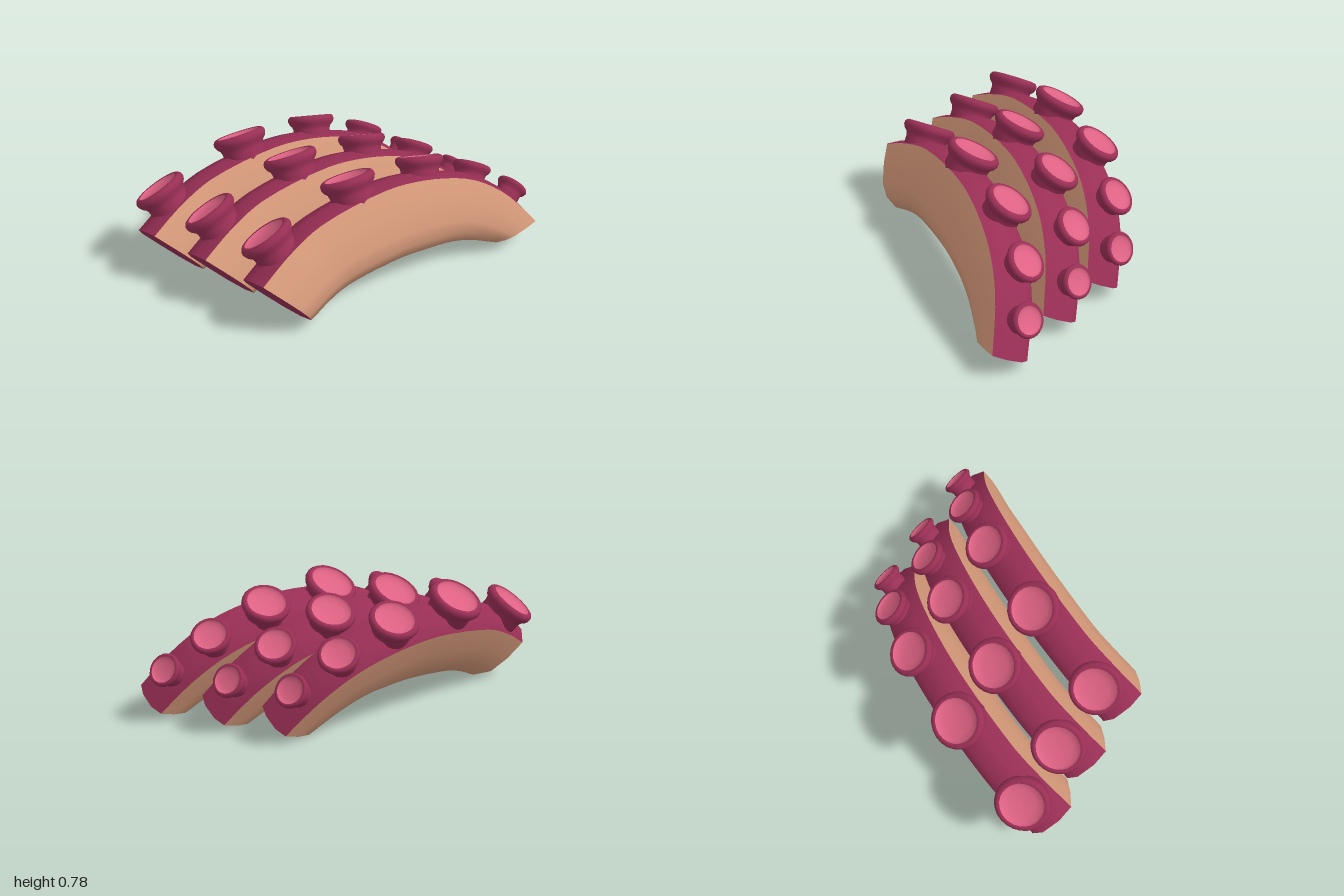
import * as THREE from 'three';

const mat = (name, color) => {
  const m = new THREE.MeshStandardMaterial({ color });
  m.name = name;
  return m;
};

// Stations along the arch: along, up, slope in degrees, width scale, height scale
const STATIONS = [
  [0, 0, 42, 1.1, 1],
  [0.2, 0.115, 28, 1.05, 1.02],
  [0.39, 0.19, 18, 1, 1.05],
  [0.81, 0.255, 2, 1, 1.08],
  [1.04, 0.247, -8, 1, 1.06],
  [1.3, 0.2, -22, 1, 0.97],
  [1.5, 0.1, -42, 0.95, 0.85],
  [1.715, -0.09, -75, 0.88, 0.66],
];

// Cross-section as (across, outward) points, going round from the outer right corner
const TOP = [[0.15, 0.175], [0.06, 0.22], [-0.06, 0.22], [-0.13, 0.165]];
const UNDER = [[-0.13, 0.165], [-0.145, 0.02], [-0.138, -0.12], [-0.08, -0.225],
  [0.04, -0.24], [0.11, -0.185], [0.148, -0.1], [0.157, 0.04], [0.15, 0.175]];

// Suckers: rim centre along, up and across, lean in degrees, radius
const SUCKERS = [
  [0.02, 0.4, 0.012, -22, 0.172],
  [0.62, 0.58, 0.015, -4, 0.172],
  [1.15, 0.563, -0.015, 10, 0.152],
  [1.53, 0.408, -0.04, 31, 0.125],
  [1.8, 0.195, -0.045, 52, 0.103],
];

const path = new THREE.CatmullRomCurve3(STATIONS.map(s => new THREE.Vector3(s[0], s[1], s[2] / 60)));
const scales = new THREE.CatmullRomCurve3(STATIONS.map(s => new THREE.Vector3(s[3], s[4], 0)));

function ring(t, section) {
  const p = path.getPoint(t), s = scales.getPoint(t);
  const angle = THREE.MathUtils.degToRad(p.z * 60);
  return section.map(([v, u]) => [
    p.x - Math.sin(angle) * u * s.y,
    p.y + Math.cos(angle) * u * s.y,
    v * s.x - 0.055 * t ** 3, // the tip drifts sideways
  ]);
}

function build(points, index) {
  const g = new THREE.BufferGeometry();
  g.setAttribute('position', new THREE.Float32BufferAttribute(points.flat(), 3));
  g.setIndex(index);
  g.computeVertexNormals();
  return g;
}

// Skin of one part of the cross-section swept along the arch
function sweep(section, steps = 28) {
  const points = [], index = [], n = section.length;
  for (let i = 0; i <= steps; i++) points.push(...ring(i / steps, section));
  for (let i = 0; i < steps; i++) {
    for (let j = 0; j < n - 1; j++) {
      const a = i * n + j, b = a + n;
      index.push(a, b, a + 1, b, b + 1, a + 1);
    }
  }
  return build(points, index);
}

// Flat cut at one end
function cap(t) {
  const points = ring(t, [...TOP, ...UNDER.slice(1, -1)]), index = [];
  for (let j = 1; j < points.length - 1; j++) index.push(...(t === 0 ? [0, j, j + 1] : [0, j + 1, j]));
  return build(points, index);
}

const lathe = pts => new THREE.LatheGeometry(pts.map(p => new THREE.Vector2(...p)), 24);

export function createModel() {
  const plum = mat('plum skin', 0x9a2f56);
  const pink = mat('pink sucker dish', 0xde6283);
  const tan = mat('tan flesh', 0xd89b7b);

  const topSkin = sweep(TOP), flesh = sweep(UNDER);
  const frontCut = cap(0), backCut = cap(1);
  const cup = lathe([[0.72, -1.3], [0.8, -0.8], [0.79, -0.6], [0.83, -0.45], [0.94, -0.33],
    [1, -0.2], [0.99, -0.09], [0.93, -0.01], [0.86, 0.02], [0.79, 0]]);
  const dish = lathe([[0.79, 0], [0.72, -0.1], [0.5, -0.16], [0.25, -0.19], [0, -0.2]]);

  const add = (parent, name, geometry, material) => {
    const m = new THREE.Mesh(geometry, material);
    m.name = name;
    parent.add(m);
  };

  // The arch lies in a plane that runs diagonally and leans over
  const along = new THREE.Vector3(0.44, 0, -0.9).normalize();
  const side = new THREE.Vector3(0.779, 0.5, 0.381).normalize();
  const up = new THREE.Vector3().crossVectors(side, along).normalize();
  const basis = new THREE.Matrix4().makeBasis(along, up, side);

  const model = new THREE.Group();
  model.name = 'tentacleSlices';
  for (const shift of [0, -0.435, -0.84]) {
    const slice = new THREE.Group();
    slice.name = 'tentacle';
    slice.quaternion.setFromRotationMatrix(basis);
    slice.position.set(0.13 + shift, 0.195, 0.79);
    add(slice, 'topSkin', topSkin, plum);
    add(slice, 'flesh', flesh, tan);
    add(slice, 'frontCut', frontCut, plum);
    add(slice, 'backCut', backCut, plum);
    for (const [a, b, c, lean, r] of SUCKERS) {
      const sucker = new THREE.Group();
      sucker.name = 'sucker';
      sucker.position.set(a, b, c);
      sucker.rotation.z = -THREE.MathUtils.degToRad(lean);
      sucker.scale.setScalar(r);
      add(sucker, 'cup', cup, plum);
      add(sucker, 'dish', dish, pink);
      slice.add(sucker);
    }
    model.add(slice);
  }
  return model;
}
